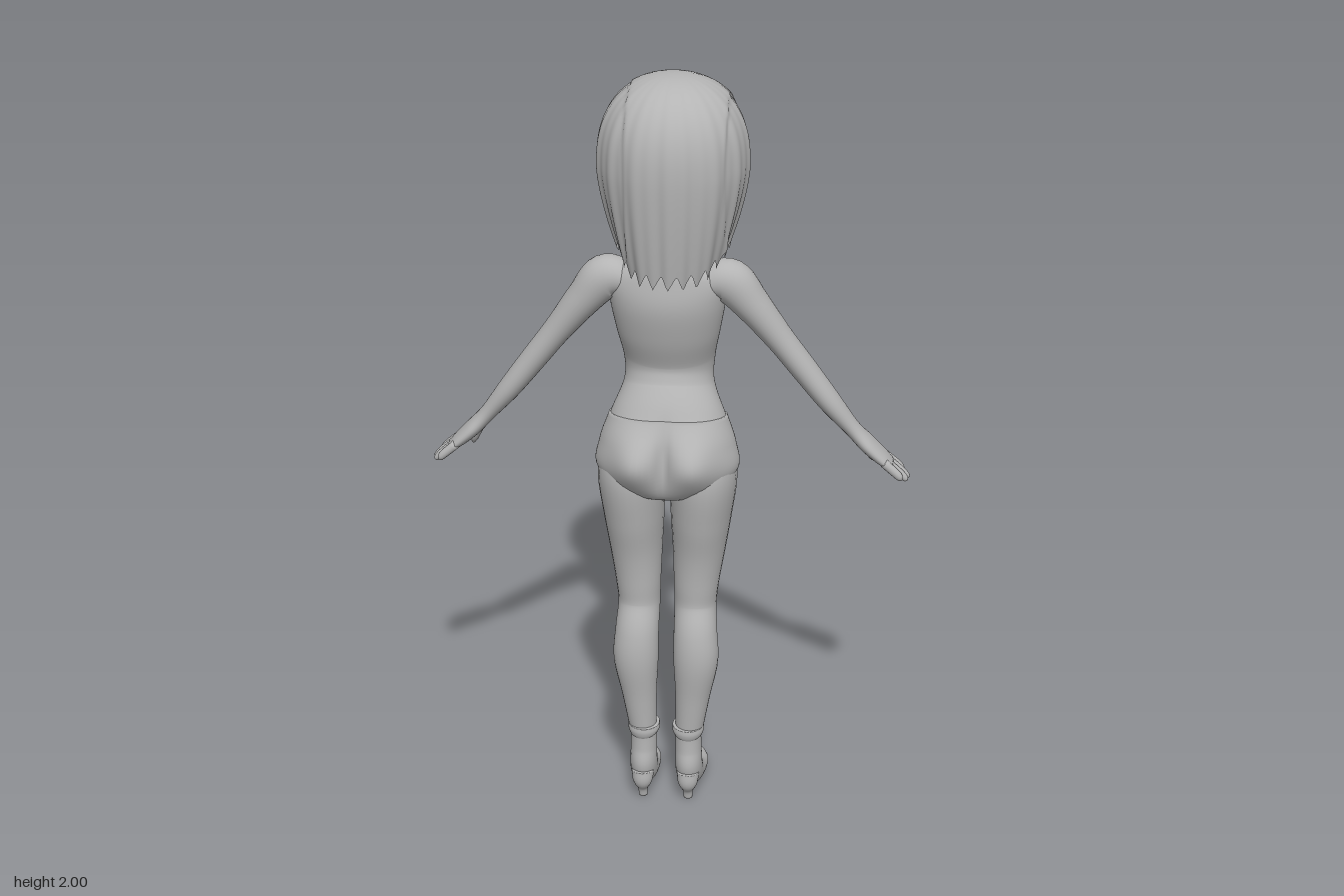
import * as THREE from 'three';

const { smoothstep, clamp } = THREE.MathUtils;
const X = new THREE.Vector3(1, 0, 0), Z = new THREE.Vector3(0, 0, 1);
const gauss = (d, w) => Math.exp(-((d / w) ** 2));

// Grid of vertices closed around the columns
function grid(rows, cols, point) {
  const pos = [], idx = [];
  for (let i = 0; i <= rows; i++)
    for (let j = 0; j < cols; j++) {
      const p = point(i / rows, (j / cols) * Math.PI * 2);
      pos.push(p.x, p.y, p.z);
      if (i === rows) continue;
      const a = i * cols + j, b = i * cols + ((j + 1) % cols);
      idx.push(a, a + cols, b, b, a + cols, b + cols);
    }
  const g = new THREE.BufferGeometry();
  g.setAttribute('position', new THREE.Float32BufferAttribute(pos, 3));
  g.setIndex(idx);
  g.computeVertexNormals();
  return g;
}

// Smooth tube through sections [x, y, z, radius along ref, radius across], with closed ends
function loft(sections, ref, cols = 28, sub = 6, bump = null) {
  const curve = (f) => new THREE.CatmullRomCurve3(sections.map(f), false, 'catmullrom', 0.5);
  const path = curve((s) => new THREE.Vector3(s[0], s[1], s[2]));
  const radii = curve((s) => new THREE.Vector3(s[3], s[4], 0));
  const n = (sections.length - 1) * sub;
  return grid(n + 2, cols, (v, a) => {
    const i = Math.round(v * (n + 2));
    const t = clamp((i - 1) / n, 0, 1);
    const k = i === 0 || i === n + 2 ? 0 : 1;
    const c = path.getPoint(t), r = radii.getPoint(t), T = path.getTangent(t);
    const u = ref.clone().addScaledVector(T, -ref.dot(T)).normalize();
    const w = u.clone().cross(T);
    const p = c.clone().addScaledVector(u, k * r.x * Math.cos(a)).addScaledVector(w, k * r.y * Math.sin(a));
    if (bump && k) bump(p, c);
    return p;
  });
}

// Chest and seat curves
function bodyBump(p, c) {
  const ax = Math.abs(p.x), y = p.y;
  const front = clamp((c.z - p.z) / 0.05, 0, 1), back = clamp((p.z - c.z) / 0.06, 0, 1);
  p.z -= 0.088 * front * gauss(ax - 0.065, 0.048) * gauss(y - 1.385, y < 1.385 ? 0.05 : 0.08);
  p.z += back * gauss(y - 1.03, 0.07) * (0.04 * gauss(ax - 0.08, 0.06) - 0.02 * gauss(ax, 0.016));
}

// Nose and lips
function faceBump(p, c) {
  if (p.z > c.z) return;
  p.z -= 0.026 * gauss(p.x, 0.013) * gauss(p.y - 1.688, p.y < 1.688 ? 0.01 : 0.025);
  p.z -= 0.01 * gauss(p.x, 0.025) * (gauss(p.y - 1.655, 0.007) + gauss(p.y - 1.639, 0.007));
  p.z += 0.012 * gauss(Math.abs(p.x) - 0.06, 0.04) * gauss(p.y - 1.738, 0.03);
}

// Hair shell: pointed locks at the hem, a short fringe over the face (-z)
function hairGeometry() {
  return grid(44, 216, (v, ang) => {
    const a = ang > Math.PI ? ang - 2 * Math.PI : ang;   // 0 is the back
    const deg = Math.abs(a) * 180 / Math.PI;
    const f = (((a * 180 / Math.PI) / 13 + 40.3) % 1);
    const tooth = Math.abs(f - 0.4) / (f < 0.4 ? 0.4 : 0.6);
    const fringe = smoothstep(deg, 108, 116);
    const long = 1.505 + 0.055 * smoothstep(deg, 25, 75) + tooth * 0.04 * (1 - 0.4 * smoothstep(deg, 40, 80));
    const short = 1.765 + tooth * 0.05;
    const hem = THREE.MathUtils.lerp(long, short, fringe);
    const y = 2 - (2 - hem) * Math.pow(v, 1.7);
    const side = Math.sin(a) ** 2;
    let r = y > 1.78
      ? 0.193 * Math.pow(Math.max(0, 1 - Math.pow((y - 1.78) / 0.22, 2.5)), 0.46)
      : 0.193 - (0.03 + 0.05 * side) * Math.pow((1.78 - y) / 0.28, 1.5);
    const x0 = r * Math.sin(a);
    r -= 0.007 * (smoothstep(-x0, 0.1, 0.112) + smoothstep(x0, 0.135, 0.147));
    r += 0.003 * Math.sin(a * 13) * v + 0.002 * Math.sin(a * 29 + 1) * v;
    return new THREE.Vector3(0.011 + r * Math.sin(a), y, r * Math.cos(a));
  });
}

export function createModel() {
  const model = new THREE.Group();
  model.name = 'figure';
  const clay = new THREE.MeshStandardMaterial({ color: 0xb4b4b4, side: THREE.DoubleSide });
  clay.name = 'grey clay';
  const add = (name, geometry, parent = model) => {
    const m = new THREE.Mesh(geometry, clay);
    m.name = name;
    parent.add(m);
    return m;
  };

  // Neck, torso and hips
  const torso = [
    [0.905, 0.015, 0.05, 0.05], [0.935, 0.02, 0.105, 0.085], [0.98, 0.028, 0.178, 0.115],
    [1.05, 0.02, 0.172, 0.118], [1.12, 0.008, 0.148, 0.105], [1.2, -0.02, 0.116, 0.09],
    [1.27, -0.025, 0.117, 0.085], [1.36, 0.005, 0.133, 0.085], [1.44, 0.022, 0.146, 0.085],
    [1.5, 0.03, 0.148, 0.07], [1.54, 0.031, 0.1, 0.056], [1.575, 0.03, 0.052, 0.048],
    [1.68, 0.01, 0.045, 0.045],
  ].map(([y, z, rx, rz]) => [0, y, z, rx, rz]);
  add('torso', loft(torso, X, 72, 8, bodyBump));
  const briefs = torso.slice(0, 5).map(([x, y, z, rx, rz]) => [x, y, z, rx + 0.004, rz + 0.004]);
  add('briefs', loft(briefs, X, 72, 8, bodyBump));

  // Head
  const head = [
    [1.603, -0.075, 0.014, 0.014], [1.615, -0.069, 0.04, 0.036], [1.65, -0.045, 0.085, 0.083],
    [1.7, -0.018, 0.126, 0.122], [1.76, 0, 0.146, 0.144], [1.83, 0, 0.15, 0.152],
    [1.9, 0, 0.125, 0.13], [1.95, 0, 0.07, 0.07],
  ].map(([y, z, rx, rz]) => [0, y, z, rx, rz]);
  add('head', loft(head, X, 96, 10, faceBump));
  add('hair', hairGeometry());

  for (const s of [1, -1]) {
    // Eyes with raised lids
    const eye = new THREE.Group();
    eye.name = 'eye';
    eye.position.set(s * 0.06, 1.738, -0.116);
    eye.rotation.y = s * -0.42;
    model.add(eye);
    add('eyeball', new THREE.SphereGeometry(1, 24, 16), eye).scale.set(0.033, 0.023, 0.014);
    add('eyelid', new THREE.TorusGeometry(0.034, 0.004, 8, 32), eye).scale.set(1, 0.72, 1);

    // Legs
    add('leg', loft([
      [0.088, 1.03, 0.02, 0.08, 0.1], [0.093, 0.96, 0.025, 0.088, 0.112], [0.088, 0.85, 0.022, 0.08, 0.1],
      [0.083, 0.75, 0.02, 0.07, 0.082], [0.077, 0.65, 0.028, 0.06, 0.063], [0.075, 0.58, 0.029, 0.056, 0.061],
      [0.078, 0.51, 0.06, 0.058, 0.056], [0.08, 0.43, 0.07, 0.06, 0.054], [0.072, 0.32, 0.066, 0.047, 0.045],
      [0.062, 0.2, 0.062, 0.036, 0.038],
    ].map(([x, ...r]) => [s * x, ...r]), X));

    // Heeled boots
    add('boot', loft([
      [0.06, 0.225, 0.063, 0.042, 0.046], [0.06, 0.21, 0.063, 0.043, 0.047], [0.06, 0.2, 0.062, 0.036, 0.041],
      [0.061, 0.15, 0.062, 0.036, 0.042], [0.062, 0.1, 0.06, 0.037, 0.05], [0.063, 0.062, 0.032, 0.038, 0.046],
      [0.065, 0.04, -0.02, 0.04, 0.03], [0.067, 0.034, -0.07, 0.037, 0.024], [0.068, 0.038, -0.1, 0.022, 0.017],
      [0.068, 0.04, -0.11, 0.008, 0.007],
    ].map(([x, ...r]) => [s * x, ...r]), X));
    add('heel', loft([
      [0.062, 0.085, 0.085, 0.03, 0.032], [0.062, 0.055, 0.09, 0.027, 0.027],
      [0.062, 0.025, 0.084, 0.014, 0.013], [0.062, 0, 0.08, 0.012, 0.01],
    ].map(([x, ...r]) => [s * x, ...r]), X, 20));

    // Arms and palms
    add('arm', loft([
      [0.1, 1.49, 0.03, 0.045, 0.04], [0.155, 1.49, 0.03, 0.052, 0.056], [0.21, 1.43, 0.025, 0.05, 0.046],
      [0.28, 1.34, 0.018, 0.042, 0.036], [0.345, 1.255, 0.012, 0.04, 0.033], [0.41, 1.17, 0.008, 0.037, 0.029],
      [0.47, 1.095, 0, 0.029, 0.021], [0.51, 1.05, -0.008, 0.042, 0.021], [0.55, 1.012, -0.012, 0.044, 0.017],
      [0.572, 0.994, -0.012, 0.038, 0.011],
    ].map(([x, ...r]) => [s * x, ...r]), Z));

    // Fingers and thumb
    [[-0.045, 0.606, 0.962], [-0.022, 0.62, 0.952], [0.001, 0.616, 0.954], [0.022, 0.602, 0.964]].forEach(([z, x, y]) =>
      add('finger', loft([
        [s * 0.555, 1.008, z * 0.9, 0.011, 0.012], [s * (0.575 + x) / 2, (0.994 + y) / 2, z, 0.0105, 0.011],
        [s * (x - 0.004), y + 0.004, z, 0.008, 0.008], [s * x, y, z, 0.003, 0.003],
      ], Z, 14, 4)));
    add('thumb', loft([
      [s * 0.495, 1.06, -0.025, 0.014, 0.016], [s * 0.51, 1.025, -0.048, 0.013, 0.014],
      [s * 0.522, 0.995, -0.06, 0.011, 0.011], [s * 0.526, 0.978, -0.066, 0.004, 0.004],
    ], Z, 14, 4));
  }
  return model;
}
